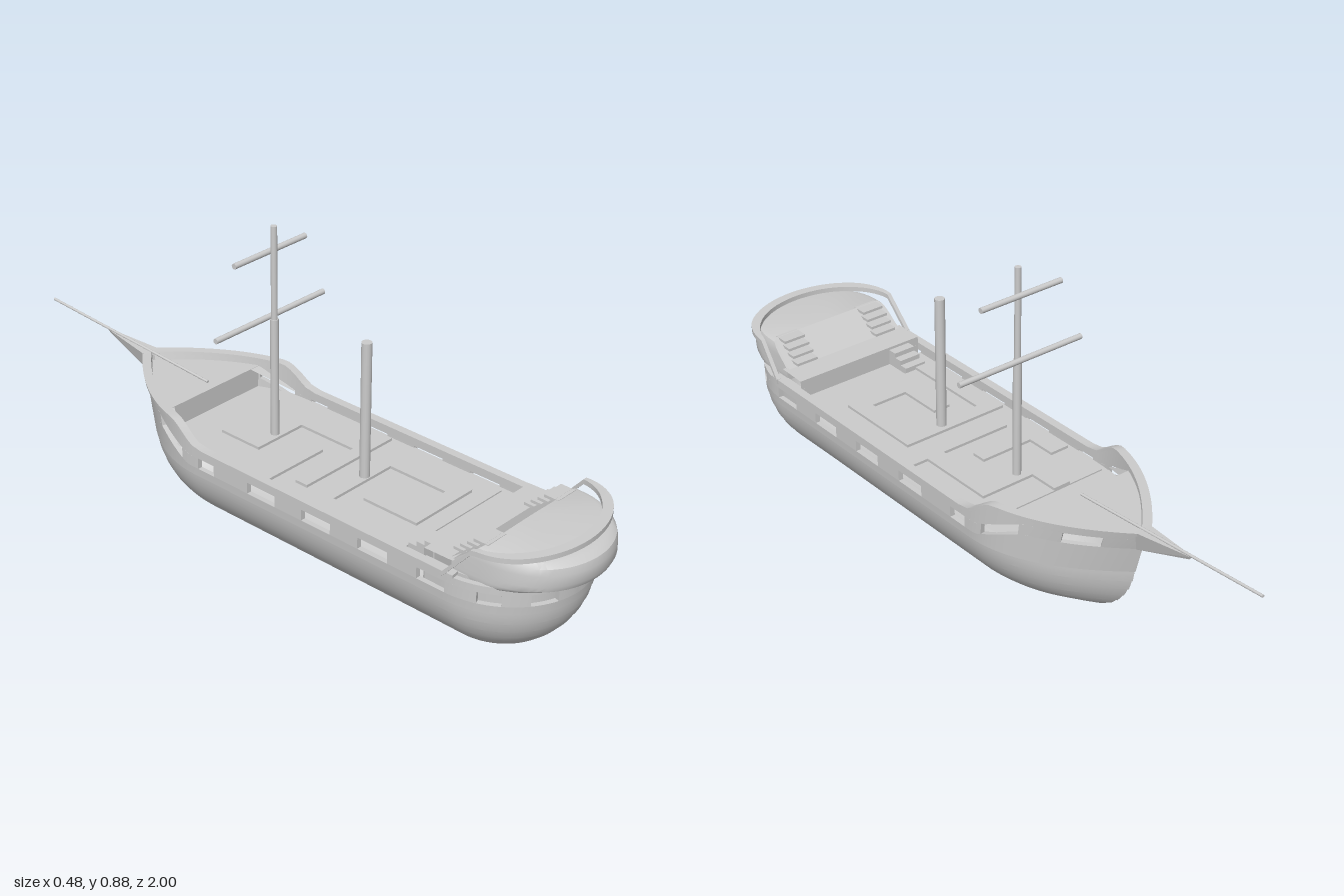
import * as THREE from 'three';
import { toCreasedNormals } from 'three/addons/utils/BufferGeometryUtils.js';
import { ConvexGeometry } from 'three/addons/geometries/ConvexGeometry.js';

const mat = new THREE.MeshStandardMaterial({ color: 0xcccccc });
const matDouble = new THREE.MeshStandardMaterial({ color: 0xcccccc, side: THREE.DoubleSide });
const { lerp, clamp, smoothstep } = THREE.MathUtils;

const W = 0.229, SHOULDER = -0.17, QUARTER = 0.7, STERN = 0.24, TIP = -0.582;

// Point on the hull outline at height y. u: 0 bow tip, 1 shoulder, 2 quarter,
// 3 stern centre, then back along the other side to 6.
function hullPoint(u, y, off = 0) {
  const side = u > 3 ? -1 : 1;
  if (u > 3) u = 6 - u;
  const s = Math.sqrt(Math.max(0, 1 - (1 - Math.min(y, 0.23) / 0.23) ** 2));
  const w = W * s;
  let x, z, nx = 1, nz = 0;
  if (u < 1) {
    const tip = -0.33 - 0.232 * s - 0.4 * Math.max(0, y - 0.23);
    const len = SHOULDER - tip, slope = 2 * w * (1 - u), n = Math.hypot(len, slope);
    x = w * (1 - (1 - u) ** 2);
    z = lerp(tip, SHOULDER, u);
    nx = len / n; nz = -slope / n;
    if (u < 1e-6) { nx = 0; nz = -1.3; }
  } else if (u <= 2) {
    x = w;
    z = lerp(SHOULDER, QUARTER, u - 1);
  } else {
    const a = (u - 2) * Math.PI / 2;
    nx = Math.cos(a); nz = Math.sin(a);
    x = w * nx; z = QUARTER + STERN * s * nz;
  }
  return [side * Math.max(0, x + off * nx), y, z + off * nz];
}

function uAt(z) {
  if (z < SHOULDER) return Math.max(0, (z - TIP) / (SHOULDER - TIP));
  if (z <= QUARTER) return 1 + (z - SHOULDER) / (QUARTER - SHOULDER);
  return 2 + Math.asin(Math.min(1, (z - QUARTER) / STERN)) * 2 / Math.PI;
}

// Surface through rows of points; closed rows get end caps
function loft(rows, closed, crease = 0.6) {
  const n = rows[0].length, index = [];
  for (let i = 0; i < rows.length - 1; i++) {
    for (let j = 0; j < (closed ? n : n - 1); j++) {
      const a = i * n + j, b = i * n + (j + 1) % n;
      index.push(a, b, a + n, b, b + n, a + n);
    }
  }
  if (closed) {
    const e = (rows.length - 1) * n;
    for (let j = 1; j < n - 1; j++) index.push(0, j + 1, j, e, e + j, e + j + 1);
  }
  const g = new THREE.BufferGeometry();
  g.setAttribute('position', new THREE.Float32BufferAttribute(rows.flat(2), 3));
  g.setIndex(index);
  return toCreasedNormals(g, crease);
}

// Sweep a profile of [offset, height] pairs around the outline
function sweep(u0, u1, profile, closed = true) {
  const steps = Math.max(2, Math.ceil((u1 - u0) * 22)), rows = [];
  for (let i = 0; i <= steps; i++) {
    const u = lerp(u0, u1, i / steps), z = hullPoint(u, 0.28)[2];
    rows.push(profile(z).map(([off, y]) => hullPoint(u, y, off)));
  }
  return loft(rows, closed);
}

export function createModel() {
  const ship = new THREE.Group();
  ship.name = 'sailingShip';
  const add = (name, geo, x = 0, y = 0, z = 0, m = mat) => {
    const mesh = new THREE.Mesh(geo, m);
    mesh.name = name;
    mesh.position.set(x, y, z);
    ship.add(mesh);
    return mesh;
  };
  const skin = (name, geo) => add(name, geo, 0, 0, 0, matDouble);
  const box = (name, x0, x1, y0, y1, z0, z1) => add(name,
    new THREE.BoxGeometry(x1 - x0, y1 - y0, z1 - z0), (x0 + x1) / 2, (y0 + y1) / 2, (z0 + z1) / 2);

  // Hull with a smooth bottom; the strakes stand out towards bow and stern
  const strakes = [0.048, 0.07, 0.098, 0.128, 0.16, 0.197];
  skin('hull', sweep(0, 6, z => {
    const step = 0.0005 + 0.002 * Math.max(smoothstep(z, 0.5, 0.8), 1 - smoothstep(z, -0.45, -0.2));
    const profile = [];
    for (let i = 0; i <= 7; i++) profile.push([0, 0.048 * (i / 7) ** 2]);
    for (let i = 0; i < strakes.length - 1; i++) {
      for (let k = 0; k <= 3; k++) profile.push([step * (1 - k / 3), lerp(strakes[i], strakes[i + 1], k / 3)]);
    }
    return profile;
  }, false));

  // Bulwark: lower and upper bands with pillars between the gun ports
  const band = (lo, hi, inner = -0.012, outer = 0.003) => z => {
    const l = lo(z), h = hi(z);
    return [[outer, l], [outer, h], [inner, h], [inner, l]];
  };
  const lift = z => 0.057 * clamp((-0.2 - z) / 0.14, 0, 1);
  const sill = z => 0.22 + lift(z), lintel = z => 0.253 + lift(z);
  const top = z => 0.273 + 0.055 * (1 - smoothstep(z, -0.26, -0.15));
  skin('bulwarkLower', sweep(0, 6, band(() => 0.195, sill)));
  skin('bulwarkUpper', sweep(0, 6, band(lintel, top)));
  const ports = [[-0.51, -0.43], [-0.33, -0.22], [-0.155, -0.095], [0.03, 0.13], [0.225, 0.326],
    [0.42, 0.52], [0.615, 0.705], [0.79, 0.844], [0.895, 0.929]];
  let from = 0;
  for (const [a, b] of ports) {
    const to = uAt(a);
    skin('bulwarkPillar', sweep(from, to, band(sill, lintel)));
    skin('bulwarkPillar', sweep(6 - to, 6 - from, band(sill, lintel)));
    from = uAt(b);
  }
  skin('bulwarkPillar', sweep(from, 6 - from, band(sill, lintel)));

  // Rail cap along both sides
  const railEnd = uAt(0.73), cap = band(top, z => top(z) + 0.009, -0.018, 0.007);
  skin('railCap', sweep(0, railEnd, cap));
  skin('railCap', sweep(6 - railEnd, 6, cap));

  // Cabin wall behind the stern ports
  const cabin = uAt(0.62);
  skin('cabinWall', sweep(cabin, 6 - cabin, band(() => 0.2, () => 0.275, -0.03, -0.022)));

  // Overhanging stern body: D-shaped levels [height, half width, rear z]
  const levels = [[0.268, 0.2, 0.93], [0.274, 0.201, 0.965], [0.284, 0.201, 0.992], [0.3, 0.2, 1],
    [0.33, 0.199, 1], [0.348, 0.197, 0.995], [0.36, 0.192, 0.977], [0.365, 0.18, 0.945], [0.367, 0.02, 0.8]];
  skin('sternBody', loft(levels.map(([y, hw, rear]) => {
    const front = 0.7 + 0.08 * clamp((y - 0.3) / 0.065, 0, 1), ring = [[hw, y, front]];
    for (let i = 0; i <= 32; i++) {
      const a = Math.PI * i / 32;
      ring.push([hw * Math.cos(a), y, 0.785 + (rear - 0.785) * Math.sin(a) ** 0.85]);
    }
    ring.push([-hw, y, front]);
    return ring;
  }), true));

  // Stern rail: sloping ends and a curved sweep around the back
  const railPath = [[0.233, 0.276, 0.7], [0.226, 0.368, 0.78]];
  for (let i = 1; i < 32; i++) {
    const a = Math.PI * i / 32;
    railPath.push([0.224 * Math.cos(a), 0.37 + 0.004 * Math.sin(a), 0.78 + 0.17 * Math.sin(a)]);
  }
  railPath.push([-0.226, 0.368, 0.78], [-0.233, 0.276, 0.7]);
  skin('sternRail', loft(railPath.map(([x, y, z]) => {
    const d = new THREE.Vector2(x / 0.224, Math.max(0, z - 0.78) / 0.17).normalize();
    const wide = lerp(0.006, 0.014, clamp((z - 0.78) / 0.1, 0, 1));
    return [[1, -1], [1, 1], [-1, 1], [-1, -1]].map(([o, v]) => [x + d.x * o * wide, y + v * 0.007, z + d.y * o * wide]);
  }), true));

  // Decks: strips across the ship following a height profile
  const deck = (name, stops, inset) => {
    const rows = [];
    for (let i = 0; i < stops.length - 1; i++) {
      const [z0, y0] = stops[i], [z1, y1] = stops[i + 1];
      for (let k = i ? 1 : 0; k <= 12; k++) {
        const z = lerp(z0, z1, k / 12), y = lerp(y0, y1, k / 12);
        const x = Math.max(0, hullPoint(uAt(z), 0.28)[0] - inset);
        rows.push([[-x, y, z], [x, y, z]]);
      }
    }
    skin(name, loft(rows, false, 0.2));
  };
  deck('forecastleDeck', [[-0.575, 0.312], [-0.3301, 0.312], [-0.33, 0.247]], 0.008);
  deck('mainDeck', [[-0.33, 0.247], [0.62, 0.247]], 0.008);
  deck('quarterDeck', [[0.62, 0.2], [0.6201, 0.302], [0.71, 0.304]], 0.019);
  deck('poopSlope', [[0.695, 0.303], [0.78, 0.368]], 0.032);
  box('deckPlate', -0.2, 0.2, 0.244, 0.251, -0.21, 0.54);

  // Sloping corners beside the forecastle step
  for (const s of [-1, 1]) {
    const foot = [s * 0.222, 0.25, -0.21];
    skin('deckCorner', loft([[[s * 0.15, 0.311, -0.33], [s * 0.195, 0.311, -0.33]], [foot, foot]], false));
  }

  // Raised deck strips [x0, x1, z0, z1]
  const strips = [
    [-0.085, -0.03, -0.21, -0.07], [-0.03, 0.14, -0.12, -0.07], [0.085, 0.14, -0.07, 0.12], [-0.14, 0.2, 0.12, 0.16],
    [-0.2, -0.14, -0.07, 0.065], [-0.14, 0.025, 0.02, 0.065],
    [-0.2, 0.14, 0.21, 0.255], [-0.2, -0.14, 0.255, 0.54], [0.085, 0.14, 0.255, 0.49],
    [-0.03, 0.085, 0.445, 0.49], [-0.085, -0.03, 0.31, 0.49]];
  for (const [x0, x1, z0, z1] of strips) box('deckStrip', x0, x1, 0.246, 0.259, z0, z1);

  // Stairs to the quarterdeck and to the poop
  for (let i = 0; i < 3; i++) box('lowerStep', -0.175, -0.105, 0.246, 0.266 + i * 0.014, 0.54 + i * 0.026, 0.625);
  for (const s of [-1, 1]) {
    for (let i = 0; i < 4; i++) {
      const y = 0.311 + i * 0.016, z = 0.684 + i * 0.02;
      box('poopStep', s * 0.14 - 0.035, s * 0.14 + 0.035, y, y + 0.008, z, z + 0.045);
    }
  }

  // Masts and yards
  const spar = (name, r, len, x, y, z) => add(name, new THREE.CylinderGeometry(r, r, len, 14), x, y, z);
  spar('rearMast', 0.0145, 0.41, 0, 0.451, 0.238);
  spar('frontMast', 0.012, 0.364, 0, 0.428, -0.09);
  spar('frontTopmast', 0.009, 0.28, 0, 0.74, -0.09);
  spar('lowerYard', 0.008, 0.412, 0, 0.614, -0.104).rotation.z = Math.PI / 2;
  spar('upperYard', 0.008, 0.268, 0, 0.804, -0.104).rotation.z = Math.PI / 2;

  // Bowsprit and tapering beak
  spar('bowsprit', 0.004, 0.651, 0, 0.344, -0.675).rotation.x = -Math.PI / 2 + 0.062;
  add('beak', new ConvexGeometry([
    [-0.027, 0.337, -0.58], [0.027, 0.337, -0.58], [-0.012, 0.27, -0.56], [0.012, 0.27, -0.56],
    [-0.003, 0.347, -0.76], [0.003, 0.347, -0.76], [0, 0.335, -0.75],
  ].map(p => new THREE.Vector3(...p))));

  return ship;
}
